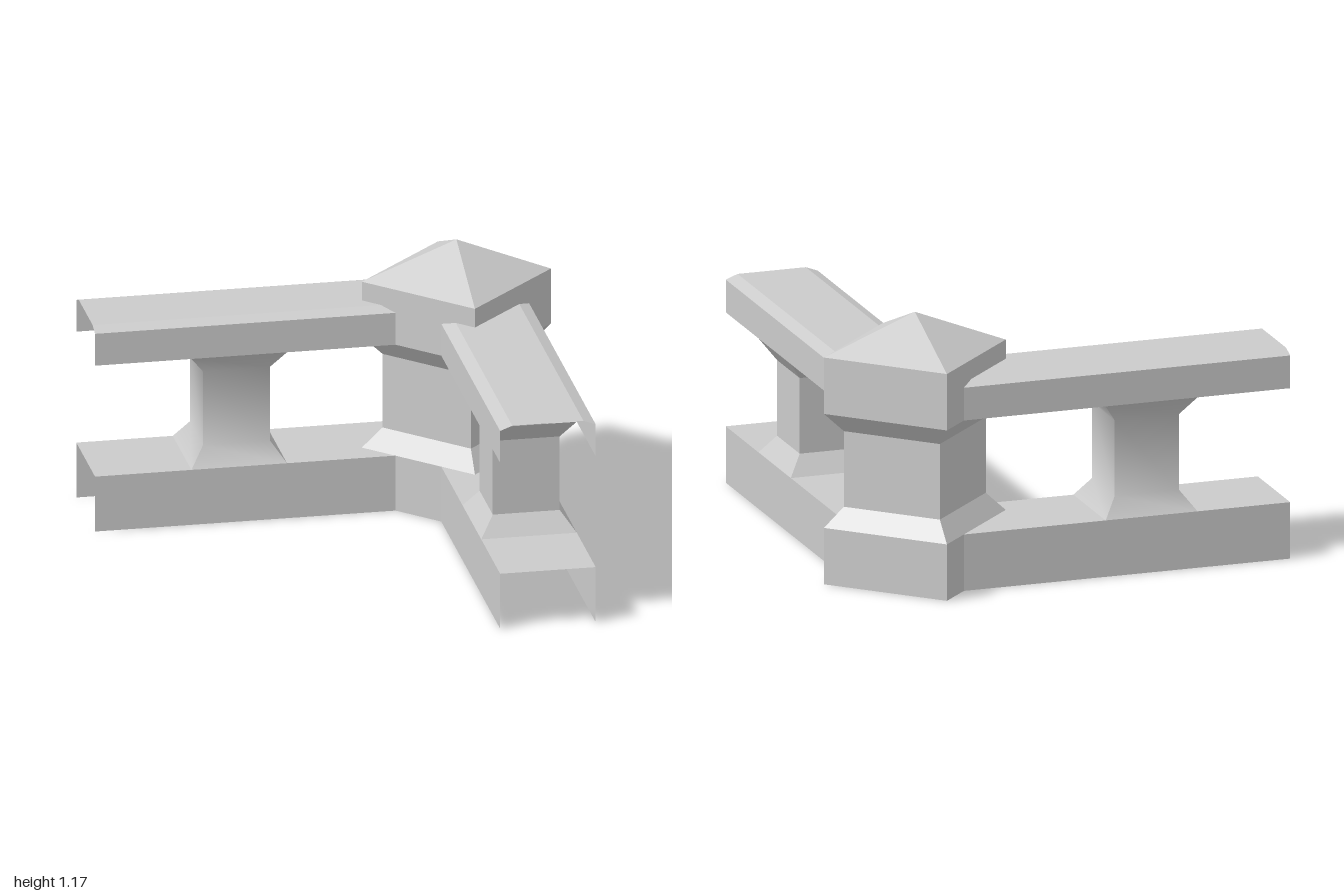
import * as THREE from 'three';
import { toCreasedNormals } from 'three/addons/utils/BufferGeometryUtils.js';

const POST = 0.59;    // post axis at (POST, -POST)
const RAIL = 0.675;   // rail centre line
const HALF = 0.207;   // half width of a rail
const LENGTH = 1 + POST;

const flat = new THREE.MeshStandardMaterial({ color: 0xcccccc, flatShading: true, side: THREE.DoubleSide });
const smooth = new THREE.MeshStandardMaterial({ color: 0xcccccc, side: THREE.DoubleSide });
const oneSided = new THREE.MeshStandardMaterial({ color: 0xcccccc, flatShading: true });

function part(name, geometry, material) {
  const mesh = new THREE.Mesh(geometry, material);
  mesh.name = name;
  return mesh;
}

// Open channel: a [z, y] section swept along x
function channel(section) {
  const geometry = new THREE.PlaneGeometry(LENGTH, 1, 1, section.length - 1);
  const pos = geometry.attributes.position;
  for (let i = 0; i < pos.count; i++) {
    const [z, y] = section[Math.floor(i / 2)];
    pos.setXYZ(i, pos.getX(i), y, z);
  }
  return geometry;
}

// Four-sided column from a [radius, y] profile
function column(profile, turn) {
  const points = profile.map(([r, y]) => new THREE.Vector2(r, y));
  return new THREE.LatheGeometry(points, 4, turn);
}

// One arm of the balustrade, running along x
function arm(balusterOffset, balusterMaterial) {
  const group = new THREE.Group();

  // Bottom rail, open below
  group.add(part('bottomRail', channel([
    [-HALF, 0], [-HALF, 0.25], [HALF, 0.25], [HALF, 0],
  ]), flat));

  // Handrail with sloped shoulders and an underside
  const shoulder = HALF - 0.053;
  group.add(part('handrail', channel([
    [-HALF, 0.755], [-HALF, 0.9], [-shoulder, 0.92],
    [shoulder, 0.92], [HALF, 0.9], [HALF, 0.755],
  ]), flat));
  const underside = part('handrailUnderside',
    new THREE.PlaneGeometry(LENGTH, HALF * 2).rotateX(Math.PI / 2), oneSided);
  underside.position.y = 0.755;
  group.add(underside);

  // Baluster flared at both ends
  const wide = HALF * Math.SQRT2, waist = 0.145 * Math.SQRT2;
  const shape = column([[wide, 0.25], [waist, 0.335], [waist, 0.67], [wide, 0.755]], Math.PI / 4);
  const baluster = part('baluster',
    balusterMaterial === smooth ? toCreasedNormals(shape, Math.PI / 4) : shape, balusterMaterial);
  baluster.position.x = balusterOffset;
  group.add(baluster);
  return group;
}

export function createModel() {
  const model = new THREE.Group();
  model.name = 'cornerBalustrade';

  // Corner post set diagonally, with a pyramid cap
  const post = part('cornerPost', column([
    [0.41, 0], [0.41, 0.25], [0.32, 0.335], [0.32, 0.67],
    [0.41, 0.755], [0.41, 1.005], [0, 1.168],
  ], 0), flat);
  post.position.set(POST, 0, -POST);
  model.add(post);

  // Two arms at right angles
  const mid = (1 - POST) / 2;
  const backArm = arm(-0.375 + mid, smooth);
  backArm.name = 'backArm';
  backArm.position.set(-mid, 0, -RAIL);

  const sideArm = arm(-0.375 + mid, flat);
  sideArm.name = 'sideArm';
  sideArm.rotation.y = Math.PI / 2;
  sideArm.position.set(RAIL, 0, mid);

  model.add(backArm, sideArm);
  return model;
}
